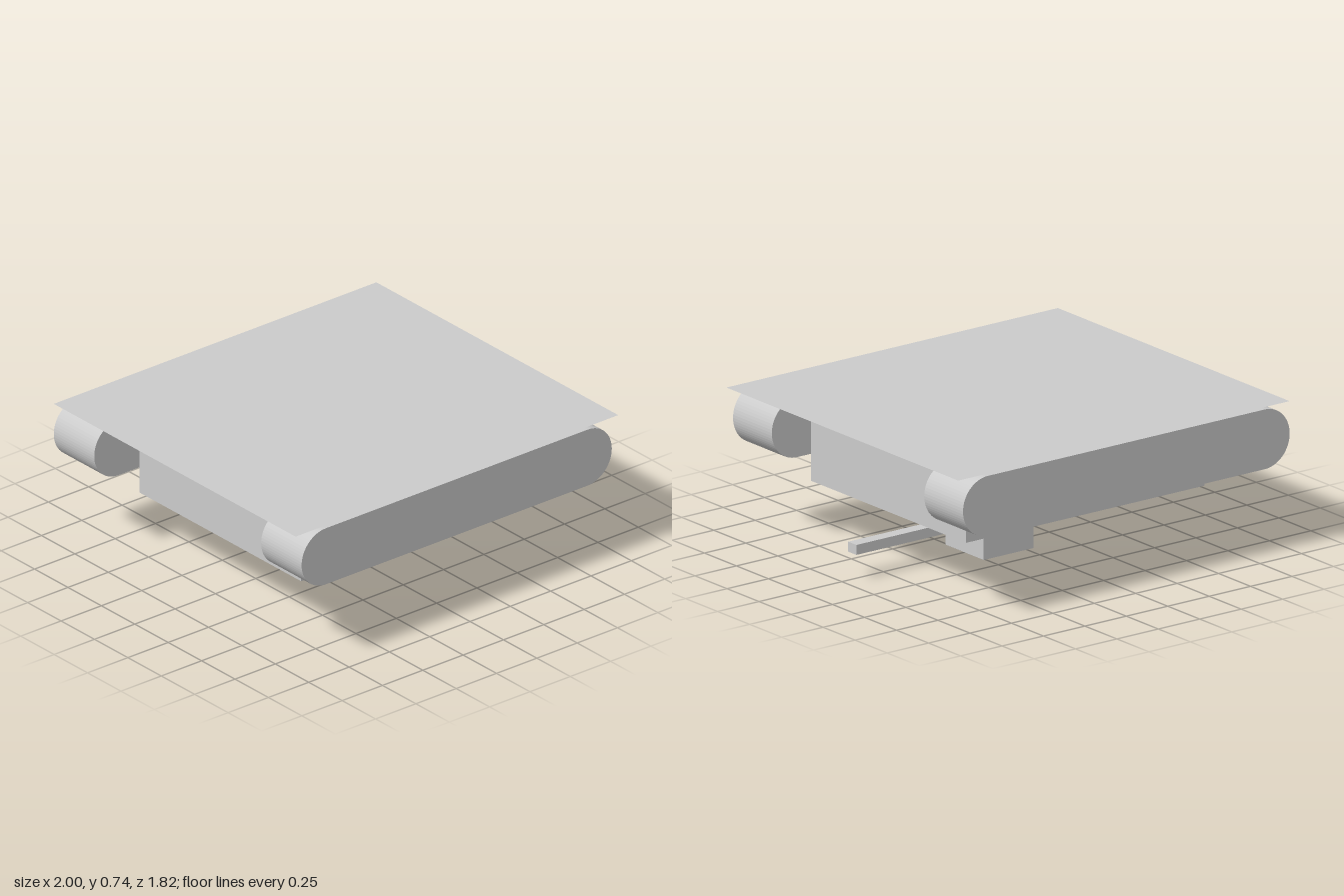
import * as THREE from 'three';

const material = new THREE.MeshStandardMaterial({ color: 0xcccccc, flatShading: true });

// Box given by its extents along x, y and z
function box(name, [x0, x1], [y0, y1], [z0, z1]) {
  const mesh = new THREE.Mesh(new THREE.BoxGeometry(x1 - x0, y1 - y0, z1 - z0), material);
  mesh.position.set((x0 + x1) / 2, (y0 + y1) / 2, (z0 + z1) / 2);
  mesh.name = name;
  return mesh;
}

// Round-ended track, extruded across its width
function track(name, x0, x1, z0, z1) {
  const r = 0.15;
  const shape = new THREE.Shape();
  shape.absarc(x1 - r, 0, r, -Math.PI / 2, Math.PI / 2, false);
  shape.absarc(x0 + r, 0, r, Math.PI / 2, Math.PI * 1.5, false);
  shape.closePath();
  const geometry = new THREE.ExtrudeGeometry(shape, {
    depth: z1 - z0, bevelEnabled: false, curveSegments: 16,
  });
  const mesh = new THREE.Mesh(geometry, material);
  mesh.position.set(0, 0.58, z0);
  mesh.name = name;
  return mesh;
}

export function createModel() {
  const model = new THREE.Group();
  model.name = 'upturnedTank';

  // Hull with the turret and gun beneath it
  model.add(box('hull', [-0.72, 0.72], [0.295, 0.638], [-0.605, 0.605]));
  model.add(box('turret', [-0.04, 0.26], [0, 0.295], [-0.15, 0.15]));
  model.add(box('gunBarrel', [0.26, 0.937], [0.13, 0.18], [-0.032, 0.032]));

  // Tracks on both sides, of slightly different lengths
  model.add(track('frontTrack', -0.968, 0.955, 0.605, 0.908));
  model.add(track('backTrack', -1, 0.971, -0.908, -0.605));

  // Thin flat sheet over the tracks
  const sheetMaterial = material.clone();
  sheetMaterial.side = THREE.DoubleSide;
  const sheet = new THREE.Mesh(new THREE.PlaneGeometry(2, 1.81), sheetMaterial);
  sheet.rotation.x = -Math.PI / 2;
  sheet.position.set(0, 0.742, -0.003);
  sheet.name = 'groundSheet';
  model.add(sheet);

  return model;
}
